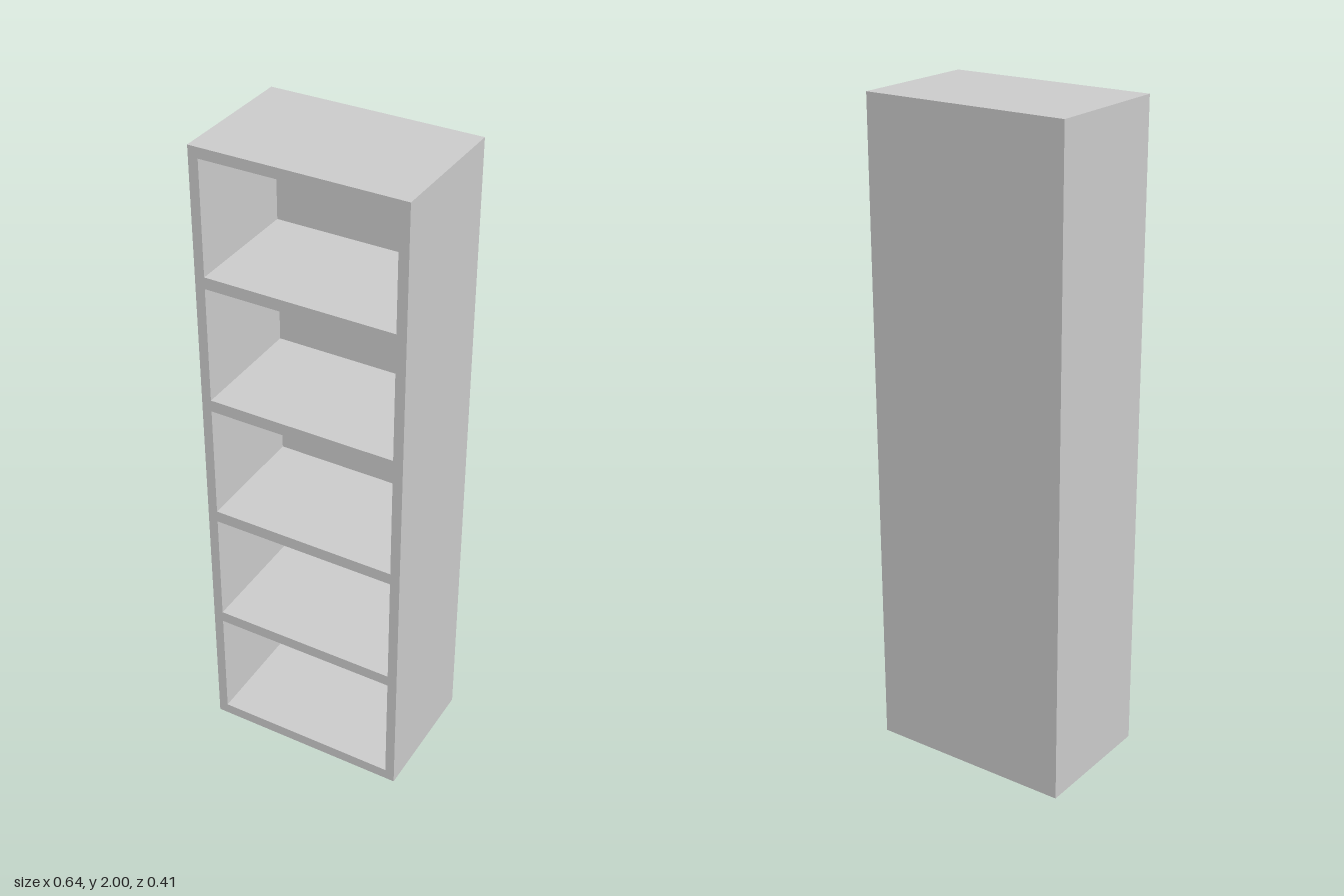
import * as THREE from 'three';

const WIDTH = 0.638, HEIGHT = 2, DEPTH = 0.41, BACK = 0.034;
const OPENING_X = 0.289; // half width of each bay
// bottom and top height of each open bay
const BAYS = [[0.035, 0.397], [0.433, 0.792], [0.829, 1.188], [1.225, 1.586], [1.622, 1.968]];

function rectangle(path, x, y0, y1) {
  path.moveTo(-x, y0);
  path.lineTo(x, y0);
  path.lineTo(x, y1);
  path.lineTo(-x, y1);
  path.closePath();
  return path;
}

export function createModel() {
  const model = new THREE.Group();
  model.name = 'bookcase';
  const material = new THREE.MeshStandardMaterial({ color: 0xcccccc });

  // Sides, top, base and shelves as one body with a hole for every bay
  const outline = rectangle(new THREE.Shape(), WIDTH / 2, 0, HEIGHT);
  for (const [y0, y1] of BAYS) outline.holes.push(rectangle(new THREE.Path(), OPENING_X, y0, y1));
  const carcass = new THREE.Mesh(
    new THREE.ExtrudeGeometry(outline, { depth: DEPTH - BACK, bevelEnabled: false }), material);
  carcass.name = 'carcassWithShelves';
  carcass.position.z = -DEPTH / 2 + BACK;
  model.add(carcass);

  // Solid back closing all the bays
  const back = new THREE.Mesh(new THREE.BoxGeometry(WIDTH, HEIGHT, BACK), material);
  back.name = 'backPanel';
  back.position.set(0, HEIGHT / 2, (BACK - DEPTH) / 2);
  model.add(back);

  return model;
}
